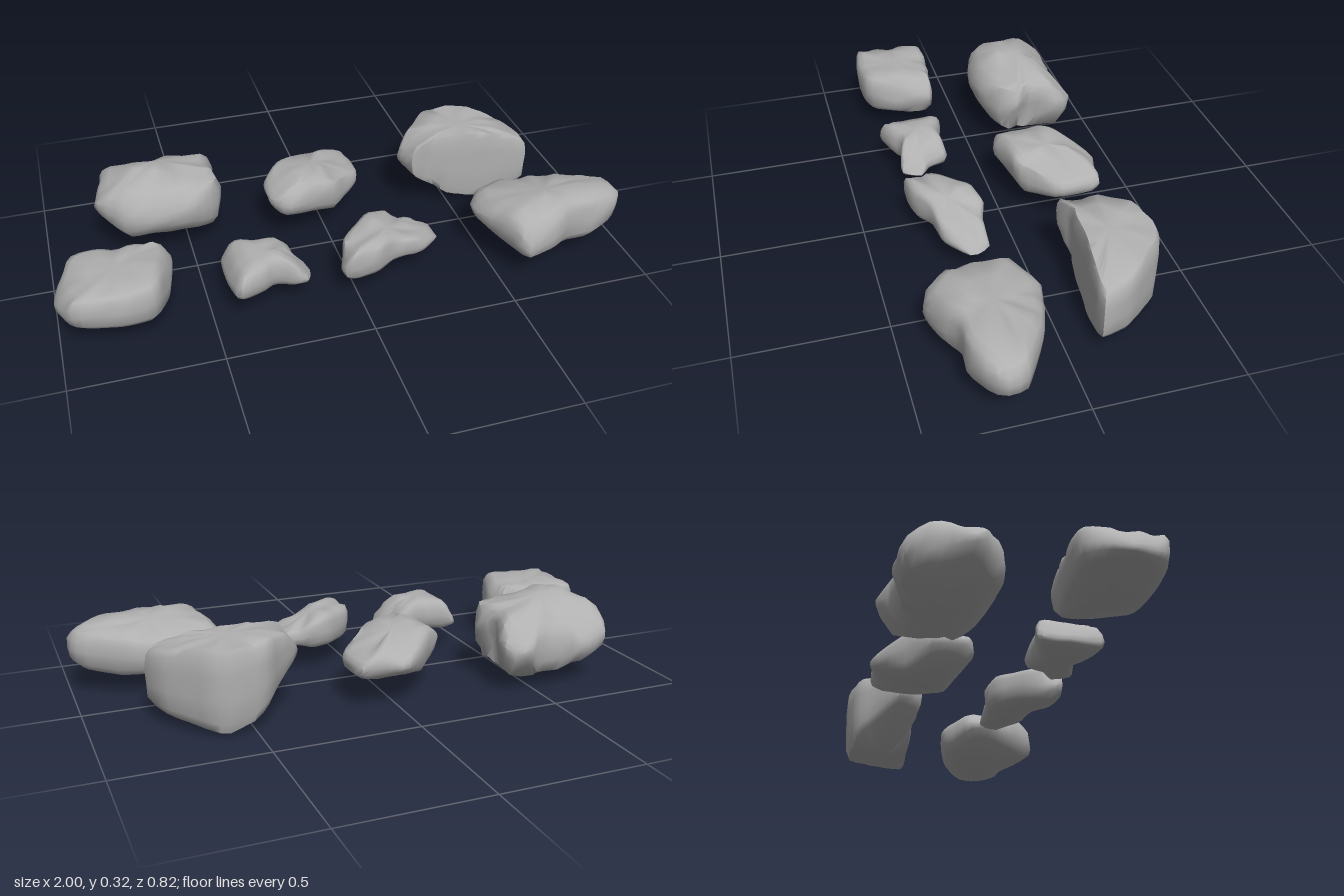
import * as THREE from 'three';
import { toCreasedNormals } from 'three/addons/utils/BufferGeometryUtils.js';

const SIDES = 40;
// [plan scale, height fraction] of each ring, from underside to crown
const ROUND = [[0, 0], [0.45, 0.01], [0.8, 0.07], [0.95, 0.24], [1, 0.48], [0.96, 0.74], [0.84, 0.92], [0.68, 0.98], [0.35, 1], [0, 1]];
const BLUNT = [[0, 0], [0.5, 0.01], [0.86, 0.05], [0.97, 0.2], [1, 0.5], [0.985, 0.78], [0.92, 0.93], [0.78, 0.985], [0.4, 1], [0, 1]];
const BOXY = [[0, 0], [0.5, 0], [0.9, 0.03], [0.97, 0.14], [0.99, 0.4], [1, 0.7], [0.98, 0.92], [0.92, 0.99], [0.5, 1], [0, 1]];

// Piecewise linear lookup in a list of [position, height]
function profile(points, t) {
  if (t <= points[0][0]) return points[0][1];
  for (let i = 1; i < points.length; i++) {
    const [a, ya] = points[i - 1], [b, yb] = points[i];
    if (t <= b) return ya + (yb - ya) * (t - a) / (b - a);
  }
  return points[points.length - 1][1];
}

// Gentle weathering of the surface
const bump = (x, y, z) =>
  Math.sin(x * 37 + z * 23) * Math.sin(z * 41 - y * 29 + x * 11) + 0.5 * Math.sin(x * 61 - y * 47 + z * 53);

// Stone from a plan outline [x, z], with crown and underside heights along x and z
// and an optional hollow [x, y, z, radius, depth] pressed into its side
function stoneGeometry({ plan, topX, botX, topZ, botZ, rings = ROUND, rough = 0.004, hollow }) {
  const curve = new THREE.CatmullRomCurve3(plan.map(([x, z]) => new THREE.Vector3(x, 0, z)), true, 'catmullrom', 0.3);
  const outline = curve.getSpacedPoints(SIDES).slice(0, SIDES);
  const centre = outline.reduce((sum, p) => sum.add(p), new THREE.Vector3()).divideScalar(SIDES);
  const positions = [], index = [];
  rings.forEach(([s, h], r) => {
    for (let j = 0; j < SIDES; j++) {
      const p = centre.clone().lerp(outline[j], s);
      let top = profile(topX, p.x), bot = profile(botX, p.x);
      if (topZ) top = Math.min(top, profile(topZ, p.z));
      if (botZ) bot = Math.max(bot, profile(botZ, p.z));
      top = Math.max(top, bot + 0.01);
      const y = bot + (top - bot) * h;
      const n = bump(p.x, y, p.z) * rough;
      let grow = 1 + (s < 0.99 ? n * 4 : 0);
      if (hollow) {
        const [hx, hy, hz, radius, depth] = hollow;
        const d = Math.hypot(p.x - hx, y - hy, p.z - hz) / radius;
        grow -= depth * Math.exp(-d * d * 2);
      }
      p.sub(centre).multiplyScalar(grow).add(centre);
      positions.push(p.x, Math.max(0, y + n * (h > 0.5 ? 1 : 0.6)), p.z);
      if (r === rings.length - 1) continue;
      const a = r * SIDES + j, b = r * SIDES + (j + 1) % SIDES;
      if (r > 0) index.push(a, a + SIDES, b);
      if (r < rings.length - 2) index.push(b, a + SIDES, b + SIDES);
    }
  });
  const geometry = new THREE.BufferGeometry();
  geometry.setAttribute('position', new THREE.Float32BufferAttribute(positions, 3));
  geometry.setIndex(index);
  return toCreasedNormals(geometry, 1);
}

const STONES = {
  backRightBoulder: {
    plan: [[-0.82, -0.18], [-0.79, -0.28], [-0.77, -0.38], [-0.65, -0.4], [-0.61, -0.375], [-0.5, -0.38], [-0.44, -0.415],
      [-0.365, -0.36], [-0.4, -0.23], [-0.365, -0.19], [-0.385, -0.12], [-0.47, -0.065], [-0.6, -0.05], [-0.72, -0.07], [-0.8, -0.14]],
    topX: [[-0.82, 0.22], [-0.8, 0.25], [-0.68, 0.315], [-0.6, 0.325], [-0.53, 0.29], [-0.39, 0.27], [-0.37, 0.21]],
    botX: [[-0.82, 0.18], [-0.75, 0.11], [-0.6, 0.05], [-0.47, 0.02], [-0.4, 0.06], [-0.37, 0.14]],
    topZ: [[-0.41, 0.17], [-0.36, 0.225], [-0.28, 0.295], [-0.2, 0.325], [-0.13, 0.315], [-0.05, 0.22]],
    botZ: [[-0.41, 0.14], [-0.35, 0.04], [-0.27, 0.02], [-0.18, 0.045], [-0.1, 0.085], [-0.05, 0.14]],
    rings: BLUNT, rough: 0.006, hollow: [-0.4, 0.13, -0.22, 0.08, 0.14],
  },
  backMiddleStone: {
    plan: [[-0.21, -0.18], [-0.15, -0.24], [-0.08, -0.31], [-0.01, -0.36], [0.07, -0.335], [0.14, -0.33],
      [0.15, -0.18], [0.07, -0.1], [0.03, -0.06], [-0.04, -0.045], [-0.15, -0.02], [-0.21, -0.06]],
    topX: [[-0.21, 0.2], [-0.15, 0.23], [-0.08, 0.245], [0, 0.24], [0.03, 0.215], [0.15, 0.17]],
    botX: [[-0.21, 0.15], [-0.17, 0.11], [-0.1, 0.075], [0, 0.07], [0.15, 0.11]],
    topZ: [[-0.36, 0.17], [-0.25, 0.23], [-0.1, 0.245], [-0.05, 0.235], [-0.02, 0.2]],
    botZ: [[-0.36, 0.13], [-0.25, 0.08], [-0.09, 0.08], [-0.02, 0.13]],
    rings: BLUNT, rough: 0.006,
  },
  backLeftBlock: {
    plan: [[0.31, -0.19], [0.4, -0.28], [0.46, -0.34], [0.58, -0.36], [0.64, -0.34], [0.7, -0.28], [0.77, -0.2], [0.8, -0.1],
      [0.68, -0.1], [0.57, -0.115], [0.46, -0.115], [0.42, -0.125], [0.34, -0.1]],
    topX: [[0.31, 0.21], [0.36, 0.285], [0.45, 0.3], [0.68, 0.285], [0.77, 0.255], [0.8, 0.235]],
    botX: [[0.31, 0.18], [0.36, 0.14], [0.5, 0.03], [0.6, 0], [0.8, 0.05]],
    rings: BOXY, rough: 0.003,
  },
  frontRightStone: {
    plan: [[-1, 0.22], [-0.93, 0.09], [-0.75, 0.09], [-0.68, 0.105], [-0.6, 0.11], [-0.62, 0.23], [-0.68, 0.35], [-0.8, 0.37], [-0.95, 0.35]],
    topX: [[-1, 0.13], [-0.98, 0.16], [-0.94, 0.215], [-0.88, 0.225], [-0.78, 0.22], [-0.66, 0.235], [-0.6, 0.17]],
    botX: [[-1, 0.1], [-0.8, 0.075], [-0.63, 0.065], [-0.6, 0.11]],
    rings: BLUNT,
  },
  frontSmallStone: {
    plan: [[-0.44, 0.25], [-0.435, 0.125], [-0.37, 0.13], [-0.3, 0.15], [-0.21, 0.14], [-0.19, 0.21], [-0.155, 0.25],
      [-0.18, 0.32], [-0.28, 0.3], [-0.33, 0.33], [-0.42, 0.355]],
    topX: [[-0.44, 0.13], [-0.4, 0.19], [-0.36, 0.2], [-0.25, 0.195], [-0.2, 0.15], [-0.16, 0.11]],
    botX: [[-0.44, 0.08], [-0.16, 0.08]],
  },
  frontMiddleStone: {
    plan: [[-0.06, 0.31], [-0.02, 0.21], [0.07, 0.125], [0.15, 0.1], [0.22, 0.12], [0.31, 0.12],
      [0.33, 0.19], [0.25, 0.265], [0.14, 0.285], [0.06, 0.33], [-0.04, 0.34]],
    topX: [[-0.06, 0.14], [-0.03, 0.19], [0.02, 0.2], [0.1, 0.205], [0.2, 0.16], [0.3, 0.125], [0.33, 0.1]],
    botX: [[-0.06, 0.1], [-0.04, 0.07], [0.1, 0.08], [0.2, 0.09], [0.33, 0.075]],
    rings: BLUNT, rough: 0.006,
  },
  frontLeftBoulder: {
    plan: [[0.47, 0.2], [0.48, 0.12], [0.54, 0.08], [0.62, 0.04], [0.72, 0.06], [0.81, 0.09], [0.9, 0.14], [0.98, 0.19],
      [1, 0.25], [0.96, 0.3], [0.87, 0.34], [0.77, 0.34], [0.7, 0.38], [0.58, 0.41], [0.53, 0.34]],
    topX: [[0.47, 0.18], [0.5, 0.21], [0.55, 0.245], [0.63, 0.258], [0.8, 0.25], [0.9, 0.24], [0.98, 0.23], [1, 0.21]],
    botX: [[0.47, 0.14], [0.52, 0.1], [0.6, 0.065], [0.75, 0.055], [0.9, 0.075], [0.98, 0.085], [1, 0.11]],
    topZ: [[0.04, 0.17], [0.06, 0.2], [0.14, 0.225], [0.31, 0.258], [0.35, 0.24], [0.39, 0.2], [0.41, 0.16]],
    botZ: [[0.04, 0.13], [0.06, 0.08], [0.2, 0.055], [0.41, 0.075]],
    rings: BLUNT,
  },
};

export function createModel() {
  const group = new THREE.Group();
  group.name = 'scatteredStones';
  const stone = new THREE.MeshStandardMaterial({ color: 0xb0b0b0 });
  stone.name = 'stoneGrey';
  for (const [name, spec] of Object.entries(STONES)) {
    const mesh = new THREE.Mesh(stoneGeometry(spec), stone);
    mesh.name = name;
    group.add(mesh);
  }
  return group;
}
